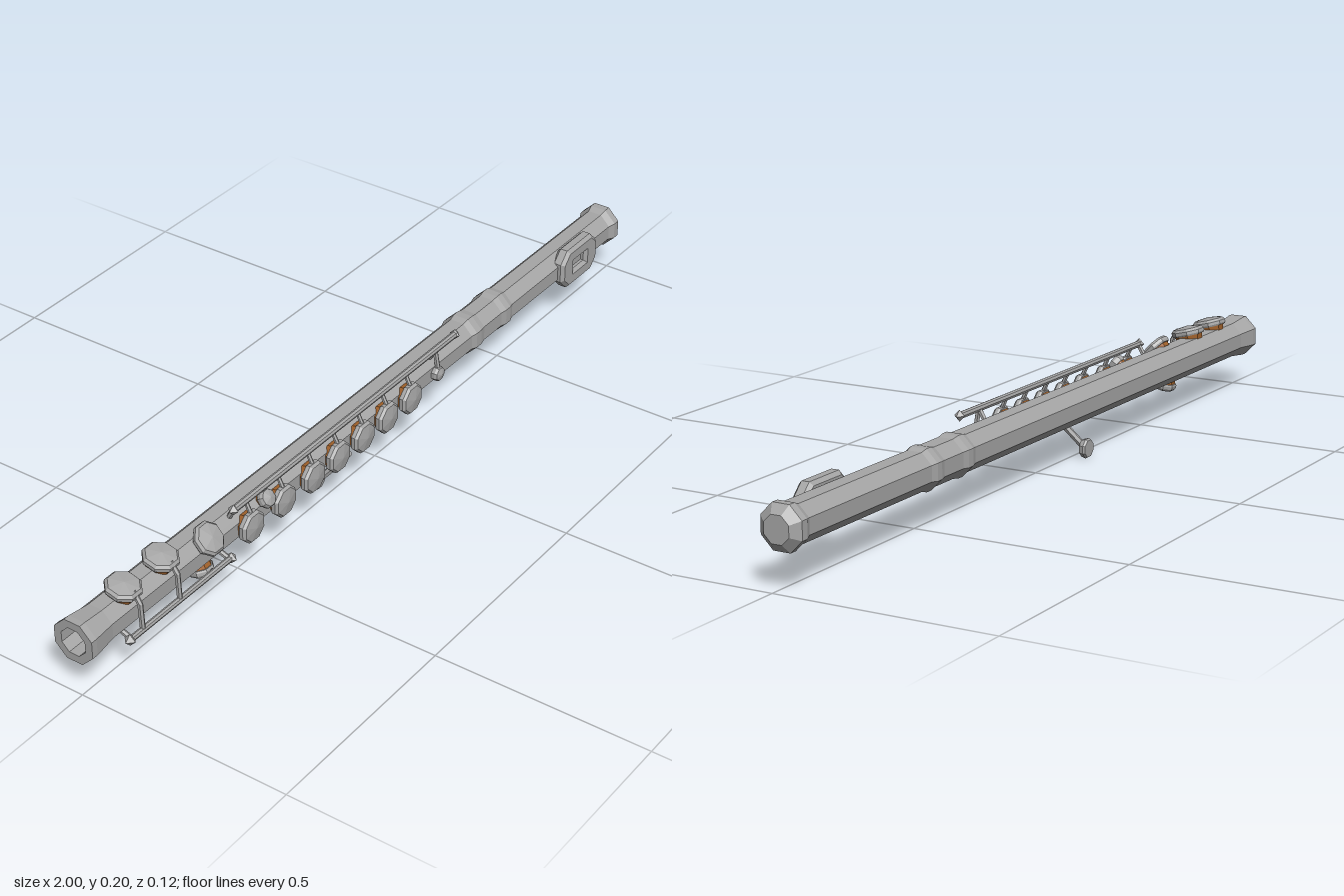
import * as THREE from 'three';

const silver = new THREE.MeshStandardMaterial({ color: 0xa6a6a6 });
silver.name = 'silver';
const padBrown = new THREE.MeshStandardMaterial({ color: 0xa5642c });
padBrown.name = 'padBrown';

const AXIS_Y = 0.128, AXIS_Z = -0.013;
const OCT = 1 / Math.cos(Math.PI / 8); // flat distance to corner radius

function flat(geo) {
  const g = geo.index ? geo.toNonIndexed() : geo;
  g.computeVertexNormals();
  return g;
}

function part(name, geo, material = silver) {
  const m = new THREE.Mesh(flat(geo), material);
  m.name = name;
  return m;
}

// Eight-sided turned shape along y, flats facing the axes
function turned(points) {
  const g = new THREE.LatheGeometry(points.map(([r, y]) => new THREE.Vector2(r * OCT, y)), 8);
  return g.rotateY(Math.PI / 8);
}

// Straight bar between two points
function bar(name, from, to, r, sides = 6) {
  const a = new THREE.Vector3(...from), b = new THREE.Vector3(...to);
  const dir = b.clone().sub(a);
  const m = part(name, new THREE.CylinderGeometry(r, r, dir.length(), sides));
  m.position.copy(a).add(b).multiplyScalar(0.5);
  m.quaternion.setFromUnitVectors(new THREE.Vector3(0, 1, 0), dir.normalize());
  return m;
}

// Padded key sitting radially on the tube; angle 0 = up, 90 = front
function key(name, x, degrees, r, lift = 0) {
  const g = new THREE.Group();
  g.name = name;
  const pad = part('pad', turned([[0, 0.034], [r * 0.76, 0.034], [r * 0.86, 0.049 + lift], [0, 0.049 + lift]]), padBrown);
  const cap = part('cap', turned([
    [0, 0.047], [r * 0.94, 0.047], [r, 0.051], [r, 0.058], [r * 0.86, 0.064], [0, 0.069],
  ].map(([a, b]) => [a, b + lift])));
  g.add(pad, cap);
  g.position.set(x, AXIS_Y, AXIS_Z);
  g.rotation.x = THREE.MathUtils.degToRad(degrees);
  return g;
}

// Long rod along x with pointed knobs at both ends
function hingeRod(name, x0, x1, y, z, r, knob) {
  const g = new THREE.Group();
  g.name = name;
  g.add(bar('shaft', [x0, y, z], [x1, y, z], r, 8));
  for (const x of [x0, x1]) {
    const k = part('knob', new THREE.OctahedronGeometry(knob));
    k.position.set(x, y, z);
    g.add(k);
  }
  return g;
}

export function createModel() {
  const flute = new THREE.Group();
  flute.name = 'flute';

  // Hollow body with flared foot, joint rings and chamfered crown
  const body = part('body', turned([
    [0, -0.6], [0.03, -0.6], [0.03, -1], [0.048, -1], [0.048, -0.985], [0.0415, -0.93],
    [0.0415, 0.345], [0.046, 0.36], [0.046, 0.378], [0.0425, 0.395],
    [0.0425, 0.468], [0.046, 0.483], [0.046, 0.5], [0.0415, 0.515],
    [0.0415, 0.95], [0.048, 0.966], [0.048, 0.983], [0.029, 1], [0, 1],
  ]).rotateZ(-Math.PI / 2));
  body.position.set(0, AXIS_Y, AXIS_Z);
  flute.add(body);

  // Row of front keys, each with an arm to the upper rod
  const rodY = 0.187, rodZ = 0.027;
  for (const x of [-0.5, -0.39, -0.286, -0.195, -0.104, -0.013, 0.078]) {
    flute.add(key('frontKey', x, 90, 0.035));
    flute.add(bar('keyArm', [x, rodY, rodZ], [x, 0.15, 0.045], 0.005));
  }
  flute.add(key('trillKey', 0.196, 90, 0.017, -0.008));
  flute.add(bar('trillArm', [0.196, rodY, rodZ], [0.196, 0.13, 0.037], 0.006));
  flute.add(key('smallKey', -0.437, 57, 0.02));
  flute.add(hingeRod('upperRod', -0.54, 0.275, rodY, rodZ, 0.008, 0.013));
  for (const x of [-0.535, 0.196]) flute.add(bar('rodPost', [x, rodY, rodZ], [x, 0.15, 0.005], 0.006));

  // Foot keys on top, with levers down to the lower rod
  const lowY = 0.094, lowZ = 0.045;
  for (const x of [-0.86, -0.743]) {
    flute.add(key('footKey', x, 14, 0.037));
    flute.add(bar('footLever', [x, 0.182, 0.026], [x, 0.155, 0.043], 0.006));
    flute.add(bar('footLever', [x, 0.158, 0.042], [x, lowY, lowZ], 0.006));
  }
  flute.add(key('sideFootKey', -0.62, 48, 0.035, -0.004));
  flute.add(key('underFootKey', -0.62, 166, 0.027));
  flute.add(bar('underLever', [-0.62, lowY, lowZ], [-0.62, 0.065, 0.015], 0.006));
  flute.add(hingeRod('lowerRod', -0.9, -0.575, lowY, lowZ, 0.007, 0.014));
  for (const x of [-0.895, -0.58]) flute.add(bar('rodPost', [x, lowY, lowZ], [x, 0.105, 0.015], 0.006));

  // Thumb lever ending in a small paddle below the body
  flute.add(bar('thumbLever', [-0.145, 0.105, 0.035], [-0.152, 0.075, 0.013], 0.008));
  flute.add(bar('thumbLever', [-0.151, 0.078, 0.016], [-0.17, 0.027, -0.027], 0.008));
  const paddle = part('thumbPaddle', turned([
    [0, -0.009], [0.019, -0.009], [0.022, -0.004], [0.019, 0.007], [0, 0.009],
  ]).rotateX(Math.PI / 2));
  paddle.position.set(-0.172, 0.0225, -0.032);
  flute.add(paddle);

  // Lip plate: bevelled octagonal plate with a rectangular blow hole
  const plate = new THREE.Shape();
  const w = 0.07, h = 0.042, c = 0.022;
  [[-w, -h + c], [-w + c, -h], [w - c, -h], [w, -h + c], [w, h - c], [w - c, h], [-w + c, h], [-w, h - c]]
    .forEach(([x, y], i) => (i ? plate.lineTo(x, y) : plate.moveTo(x, y)));
  plate.closePath();
  const hole = new THREE.Path();
  [[-0.034, -0.02], [-0.034, 0.02], [0.034, 0.02], [0.034, -0.02]]
    .forEach(([x, y], i) => (i ? hole.lineTo(x, y) : hole.moveTo(x, y)));
  hole.closePath();
  plate.holes.push(hole);
  const lip = part('lipPlate', new THREE.ExtrudeGeometry(plate, {
    depth: 0.018, bevelEnabled: true, bevelThickness: 0.008, bevelSize: 0.008, bevelSegments: 1,
  }));
  lip.position.set(0.793, AXIS_Y + 0.002, 0.018);
  flute.add(lip);

  return flute;
}
